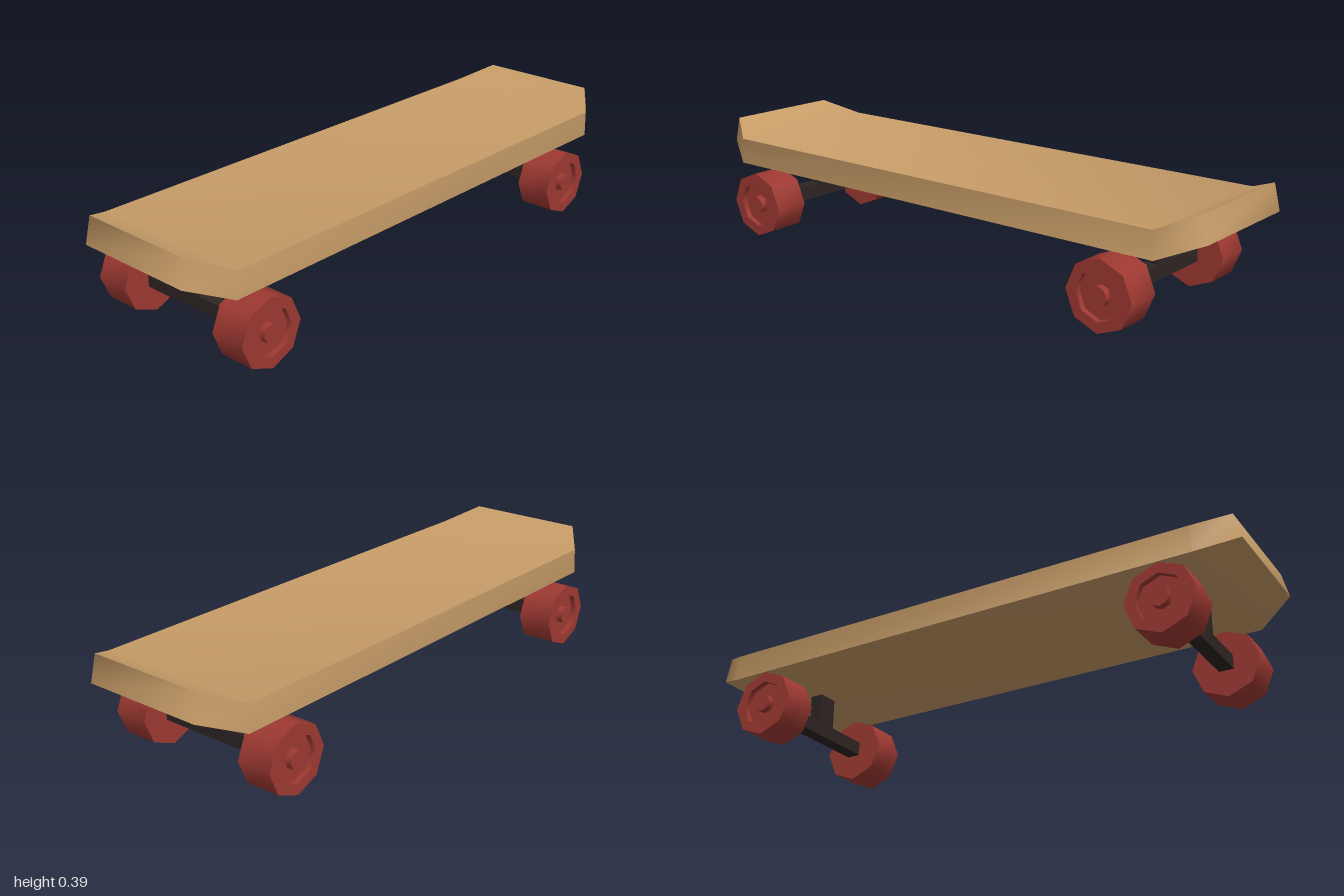
import * as THREE from 'three';
import { toCreasedNormals } from 'three/addons/utils/BufferGeometryUtils.js';

function flat(name, color) {
  const material = new THREE.MeshStandardMaterial({ color });
  material.name = name;
  return material;
}

// Plank whose narrowed ends kick upwards
function deckGeometry() {
  const geometry = new THREE.BoxGeometry(2, 2, 2, 1, 1, 3);
  const p = geometry.attributes.position;
  for (let i = 0; i < p.count; i++) {
    const sx = Math.sign(p.getX(i));
    const sz = Math.sign(p.getZ(i));
    const top = p.getY(i) > 0;
    const tip = Math.abs(p.getZ(i)) > 0.5;
    if (tip) p.setXYZ(i, sx * 0.215, top ? 0.392 : 0.305, sz * (top ? 0.978 : 1));
    else p.setXYZ(i, sx * 0.295, top ? 0.343 : 0.253, sz * (top ? 0.865 : 0.872));
  }
  return toCreasedNormals(geometry, 1.08);
}

// Eight-sided wheel with a recessed outer face and a protruding hub
function wheelGeometry() {
  const profile = [
    [0, 0], [0.116, 0], [0.116, 0.124], [0.08, 0.124],
    [0.08, 0.104], [0.032, 0.104], [0.032, 0.128], [0, 0.128],
  ].map(([r, h]) => new THREE.Vector2(r, h));
  return toCreasedNormals(new THREE.LatheGeometry(profile, 8), 0.9);
}

export function createModel() {
  const model = new THREE.Group();
  model.name = 'skateboard';
  const wood = flat('deck wood', 0xc89d68);
  const red = flat('wheel red', 0x9e3932);
  const dark = flat('truck dark metal', 0x2e2424);

  const add = (parent, name, geometry, material, x, y, z) => {
    const mesh = new THREE.Mesh(geometry, material);
    mesh.name = name;
    mesh.position.set(x, y, z);
    parent.add(mesh);
    return mesh;
  };

  add(model, 'deck', deckGeometry(), wood, 0, 0, 0);

  // Trucks: post, axle and a pair of wheels
  const wheel = wheelGeometry();
  const axle = new THREE.BoxGeometry(0.42, 0.05, 0.05);
  const post = new THREE.BoxGeometry(0.074, 0.115, 0.048);
  for (const [name, z] of [['front', 0.772], ['rear', -0.712]]) {
    const truck = new THREE.Group();
    truck.name = name + 'Truck';
    truck.position.z = z;
    model.add(truck);
    add(truck, 'axle', axle, dark, 0, 0.118, 0);
    add(truck, 'post', post, dark, 0, 0.1975, 0);
    for (const side of [1, -1]) {
      const label = side > 0 ? 'leftWheel' : 'rightWheel';
      add(truck, label, wheel, red, side * 0.2, 0.118, 0).rotation.z = -side * Math.PI / 2;
    }
  }
  return model;
}
